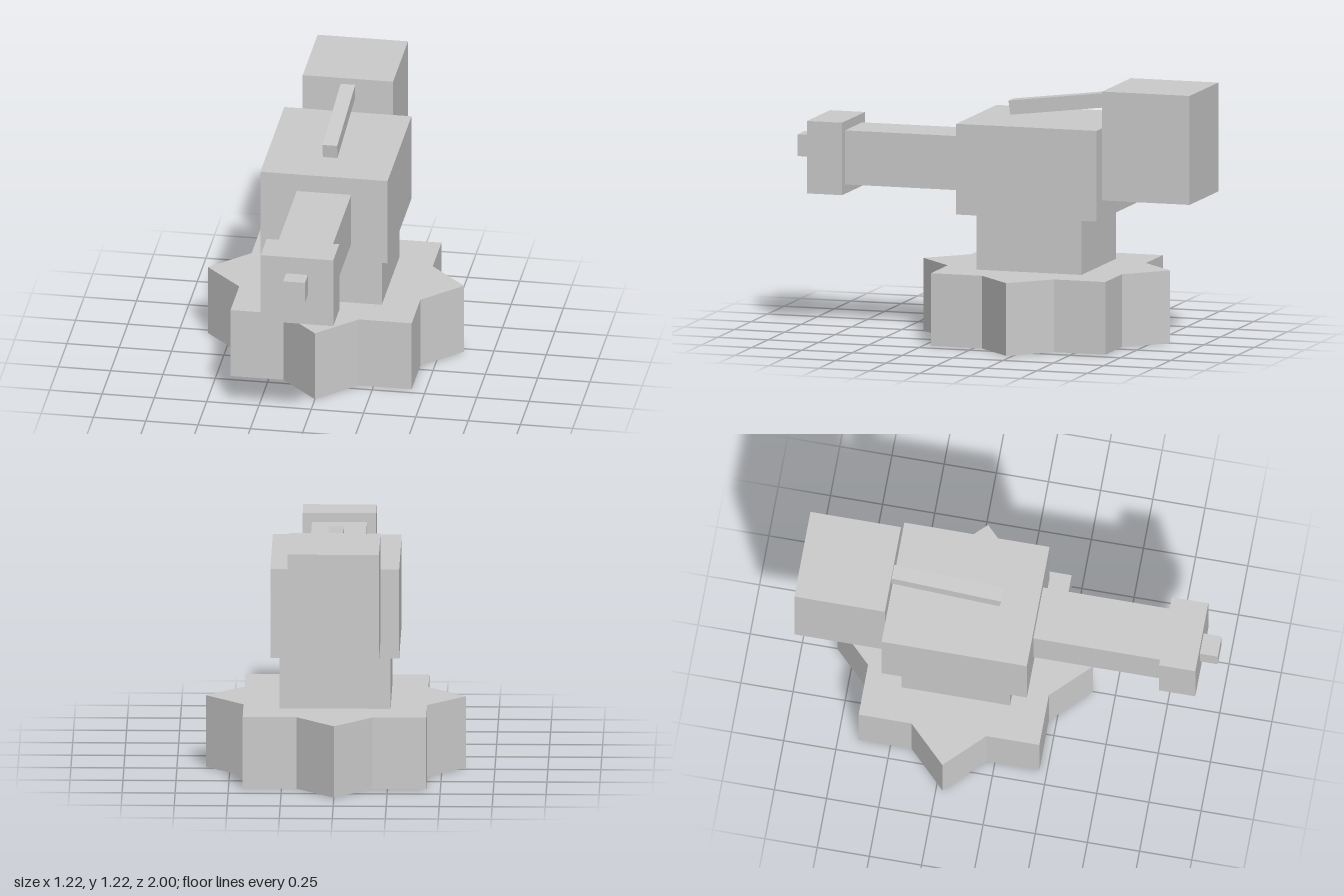
import * as THREE from 'three';

const grey = new THREE.MeshStandardMaterial({ color: 0xcccccc });
grey.name = 'plain grey';

// Box given by its lower and upper limits on y and z, centred on x
function block(name, width, [y0, y1], [z0, z1]) {
  const mesh = new THREE.Mesh(new THREE.BoxGeometry(width, y1 - y0, z1 - z0), grey);
  mesh.position.set(0, (y0 + y1) / 2, (z0 + z1) / 2);
  mesh.name = name;
  return mesh;
}

// Eight-pointed star: the outline of two squares turned 45 degrees apart
function starBase(half, height) {
  const outer = half * Math.SQRT2;
  const inner = half / Math.cos(Math.PI / 8);
  const points = [];
  for (let i = 0; i < 16; i++) {
    const r = i % 2 ? inner : outer;
    const a = (i * Math.PI) / 8;
    points.push(new THREE.Vector2(r * Math.cos(a), r * Math.sin(a)));
  }
  const geometry = new THREE.ExtrudeGeometry(new THREE.Shape(points), { depth: height, bevelEnabled: false });
  geometry.rotateX(-Math.PI / 2);
  const mesh = new THREE.Mesh(geometry, grey);
  mesh.name = 'starBase';
  return mesh;
}

export function createModel() {
  const model = new THREE.Group();
  model.name = 'cannonTurret';

  // Foot and pedestal
  const base = starBase(0.433, 0.347);
  base.position.z = -0.22;
  model.add(base);
  model.add(block('pedestal', 0.524, [0.347, 0.612], [-0.478, 0.042]));

  // Body with counterweight behind
  model.add(block('body', 0.608, [0.612, 1.045], [-0.566, 0.13]));
  model.add(block('counterweight', 0.432, [0.7, 1.22], [-1, -0.566]));

  // Barrel, muzzle and tip
  model.add(block('barrel', 0.26, [0.7, 0.958], [0.13, 0.74]));
  model.add(block('muzzle', 0.347, [0.655, 1.001], [0.74, 0.914]));
  model.add(block('muzzleTip', 0.104, [0.811, 0.915], [0.914, 1]));

  // Sloping bar running forward from the counterweight
  const bar = new THREE.Mesh(new THREE.BoxGeometry(0.07, 0.068, 0.56), grey);
  bar.name = 'topBar';
  bar.position.set(0, 1.125, -0.323);
  bar.rotation.x = 0.123;
  model.add(bar);

  return model;
}
